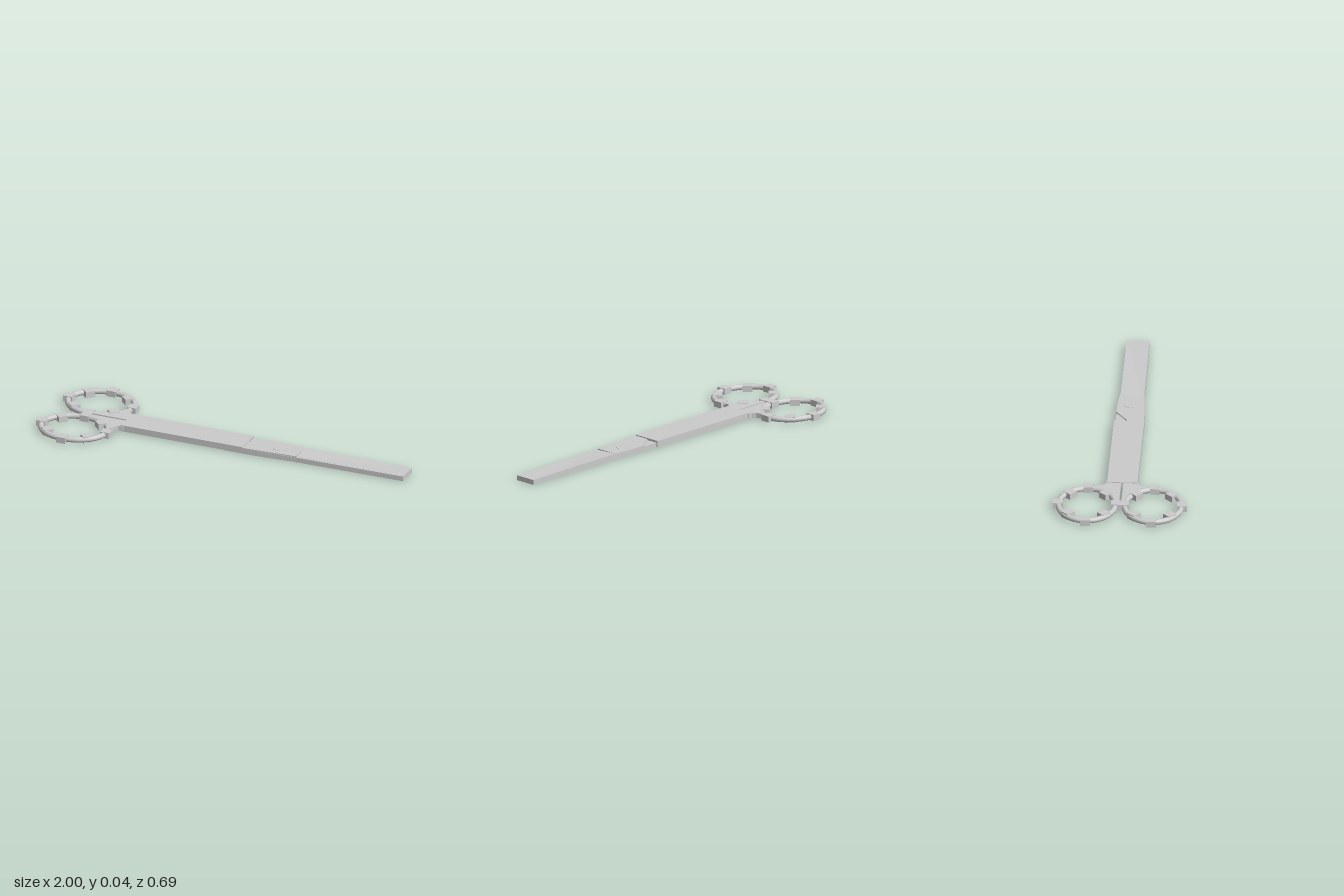
import * as THREE from 'three';

export function createModel() {
  const group = new THREE.Group();
  group.name = 'scissors';
  const material = new THREE.MeshStandardMaterial({ color: 0xcccccc });

  function add(name, geometry, parent = group) {
    const mesh = new THREE.Mesh(geometry, material);
    mesh.name = name;
    parent.add(mesh);
    return mesh;
  }

  // Flat plate from an outline of [x, z] points between two heights
  function plate(name, points, y0, y1) {
    const shape = new THREE.Shape(points.map(([x, z]) => new THREE.Vector2(x, -z)));
    const geometry = new THREE.ExtrudeGeometry(shape, { depth: y1 - y0, bevelEnabled: false });
    geometry.rotateX(-Math.PI / 2);
    geometry.translate(0, y0, 0);
    return add(name, geometry);
  }

  // Closed ellipse for the finger rings
  class RingCurve extends THREE.Curve {
    getPoint(t, target = new THREE.Vector3()) {
      const a = t * Math.PI * 2;
      return target.set(0.176 * Math.cos(a), 0, 0.146 * Math.sin(a));
    }
  }

  for (const side of [1, -1]) {
    const label = side > 0 ? 'front' : 'back';

    // Finger ring with eight grip blocks
    const handle = new THREE.Group();
    handle.name = label + 'Handle';
    handle.position.set(-0.795, 0.02, 0.17 * side);
    group.add(handle);
    add('fingerRing', new THREE.TubeGeometry(new RingCurve(), 72, 0.0145, 14, true), handle);
    for (let i = 0; i < 8; i++) {
      const a = (i * Math.PI) / 4;
      const inset = i % 2 ? 0.89 : 1.02;
      const block = add('gripBlock', new THREE.BoxGeometry(0.05, 0.032, 0.05), handle);
      block.position.set(0.176 * inset * Math.cos(a), 0, 0.146 * inset * Math.sin(a));
      block.rotation.y = -a;
    }

    // Web that joins the ring to the shaft, following the ring's curve
    const web = [[-0.77, 0.006], [-0.56, 0.006], [-0.56, 0.08], [-0.585, 0.084], [-0.6, 0.1], [-0.607, 0.13]];
    for (let i = 0; i <= 10; i++) {
      const a = -0.2 - (i / 10) * 1.25;
      web.push([-0.795 + 0.17 * Math.cos(a), 0.17 + 0.14 * Math.sin(a)]);
    }
    plate(label + 'Web', web.map(([x, z]) => [x, z * side]), 0.007, 0.033);

    // Half of the thick shaft
    const shaft = add(label + 'Shaft', new THREE.BoxGeometry(0.68, 0.033, 0.078));
    shaft.position.set(-0.235, 0.0205, 0.039 * side);
  }

  // Lower blade running the whole length to the blunt tip
  plate('lowerBlade', [[0, -0.07], [0.2, -0.07], [0.4, -0.06], [1, -0.06], [1, 0.057],
    [0.4, 0.062], [0.2, 0.073], [0, 0.075]], 0, 0.026);

  // Raised plate around the pivot, with a slanted rear edge
  plate('pivotPlate', [[0.105, -0.005], [0.205, -0.072], [0.3, -0.07], [0.4, -0.062],
    [0.4, 0.06], [0.2, 0.071], [0.105, 0.075]], 0.02, 0.032);

  // Upper blade: a long wedge that thins towards its edge and tip
  const upper = new THREE.BoxGeometry(0.6, 0.012, 0.11);
  upper.translate(0.7, 0.02, -0.005);
  const pos = upper.attributes.position;
  for (let i = 0; i < pos.count; i++) {
    if (pos.getY(i) > 0.02) {
      const tip = pos.getX(i) > 0.7;
      pos.setY(i, tip ? 0.0262 : pos.getZ(i) < 0 ? 0.032 : 0.0265);
    }
  }
  const flat = upper.toNonIndexed();
  flat.computeVertexNormals();
  add('upperBlade', flat);

  // Pivot screw
  add('pivotScrew', new THREE.CylinderGeometry(0.038, 0.038, 0.014, 32)).position.set(0.287, 0.0265, -0.002);

  return group;
}
